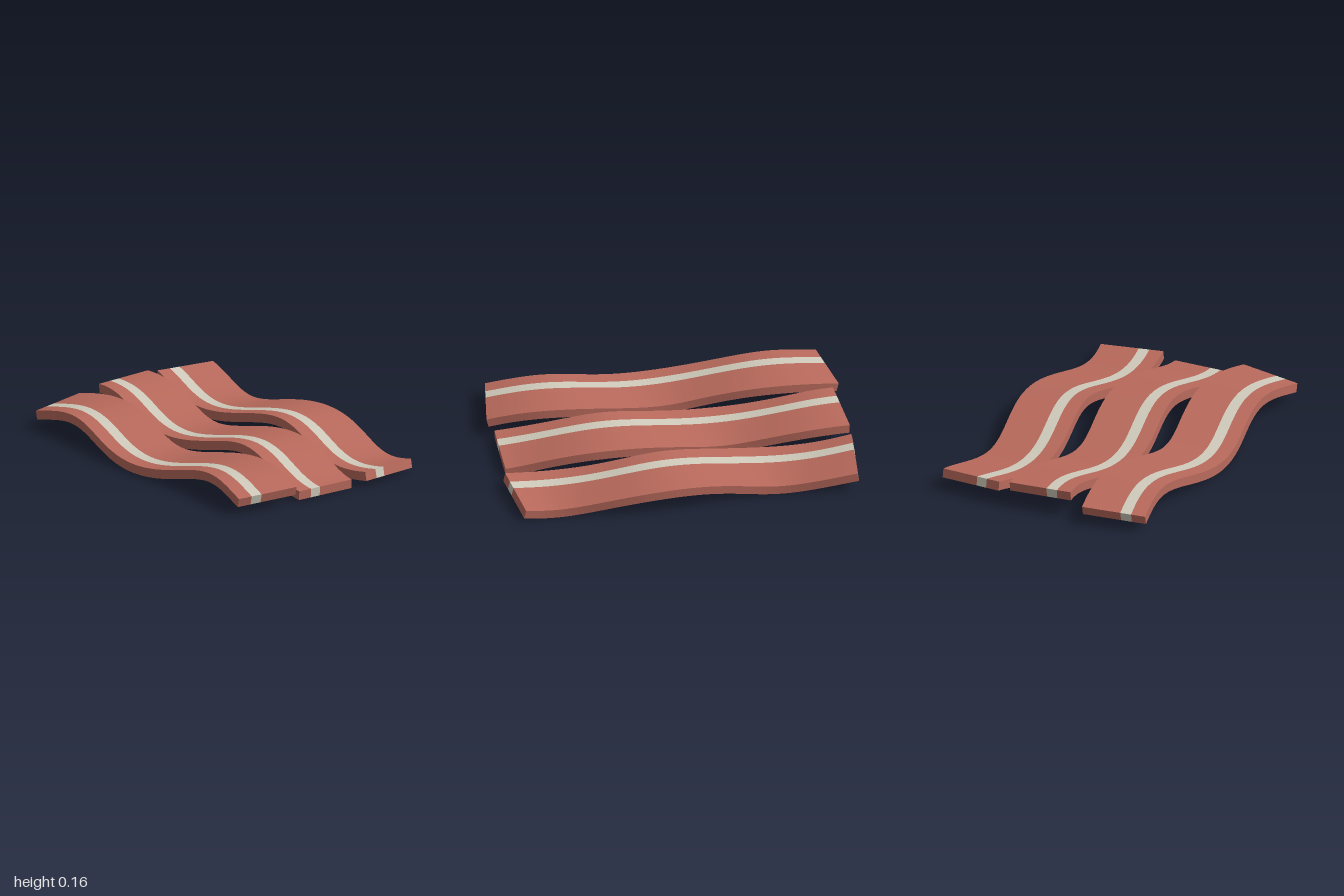
import * as THREE from 'three';

const HALF_LENGTH = 0.965, HALF_WIDTH = 0.184, HALF_THICK = 0.026, STEPS = 64;
const K_Y = 4.9, K_Z = 5.08;       // wave numbers of the ripple up/down and sideways
const AMP_Y = 0.049, AMP_Z = 0.035;

// Point on a wavy strip: x along it, w across it (towards the front), h through its thickness
function stripPoint(s, x, w, h) {
  const py = K_Y * (x - s.crestY), pz = K_Z * (x - s.crestZ);
  const slopeY = -AMP_Y * K_Y * Math.sin(py);
  const slopeZ = AMP_Z * K_Z * Math.sin(pz);
  const across = new THREE.Vector3(-slopeZ, s.tilt, 1).normalize();
  const up = new THREE.Vector3(-slopeY, 1, 0).normalize();
  return new THREE.Vector3(x, s.y + AMP_Y * Math.cos(py), s.z - AMP_Z * Math.cos(pz))
    .addScaledVector(across, w)
    .addScaledVector(up, h);
}

// Lengthwise band of a strip between w0 and w1, smooth along its length with sharp edges
function bandGeometry(s, w0, w1) {
  const positions = [], indices = [];
  const corners = [[w0, HALF_THICK], [w1, HALF_THICK], [w1, -HALF_THICK], [w0, -HALF_THICK]];
  const add = (x, [w, h]) => positions.push(...stripPoint(s, x, w, h).toArray());

  // Top, front, bottom and back faces
  for (let e = 0; e < 4; e++) {
    const base = positions.length / 3;
    for (let i = 0; i <= STEPS; i++) {
      const x = HALF_LENGTH * (2 * i / STEPS - 1);
      add(x, corners[e]);
      add(x, corners[(e + 1) % 4]);
      if (i < STEPS) {
        const a = base + 2 * i;
        indices.push(a, a + 1, a + 3, a, a + 3, a + 2);
      }
    }
  }
  // End faces
  for (const side of [1, -1]) {
    const b = positions.length / 3;
    corners.forEach((c) => add(side * HALF_LENGTH, c));
    if (side > 0) indices.push(b, b + 1, b + 2, b, b + 2, b + 3);
    else indices.push(b, b + 2, b + 1, b, b + 3, b + 2);
  }

  const geometry = new THREE.BufferGeometry();
  geometry.setAttribute('position', new THREE.Float32BufferAttribute(positions, 3));
  geometry.setIndex(indices);
  geometry.computeVertexNormals();
  return geometry;
}

export function createModel() {
  const meat = new THREE.MeshStandardMaterial({ color: 0xb96a5c });
  meat.name = 'meat red';
  const fat = new THREE.MeshStandardMaterial({ color: 0xd0cbbb });
  fat.name = 'fat cream';

  const strips = [
    { name: 'frontStrip', y: 0.085, z: 0.43, crestY: -0.645, crestZ: -0.67, tilt: -0.03 },
    { name: 'middleStrip', y: 0.086, z: -0.002, crestY: 0.37, crestZ: 0.36, tilt: 0.016 },
    { name: 'backStrip', y: 0.085, z: -0.437, crestY: 0.11, crestZ: 0.165, tilt: 0.035 },
  ];
  // Each strip is a wide lean band, a fat stripe and a narrow lean band
  const bands = [
    ['wideLeanBand', -HALF_WIDTH, 0.039, meat],
    ['fatStripe', 0.039, 0.102, fat],
    ['narrowLeanBand', 0.102, HALF_WIDTH, meat],
  ];

  const model = new THREE.Group();
  model.name = 'wavyStrips';
  for (const s of strips) {
    const strip = new THREE.Group();
    strip.name = s.name;
    for (const [name, w0, w1, material] of bands) {
      const mesh = new THREE.Mesh(bandGeometry(s, w0, w1), material);
      mesh.name = name;
      strip.add(mesh);
    }
    model.add(strip);
  }
  return model;
}
